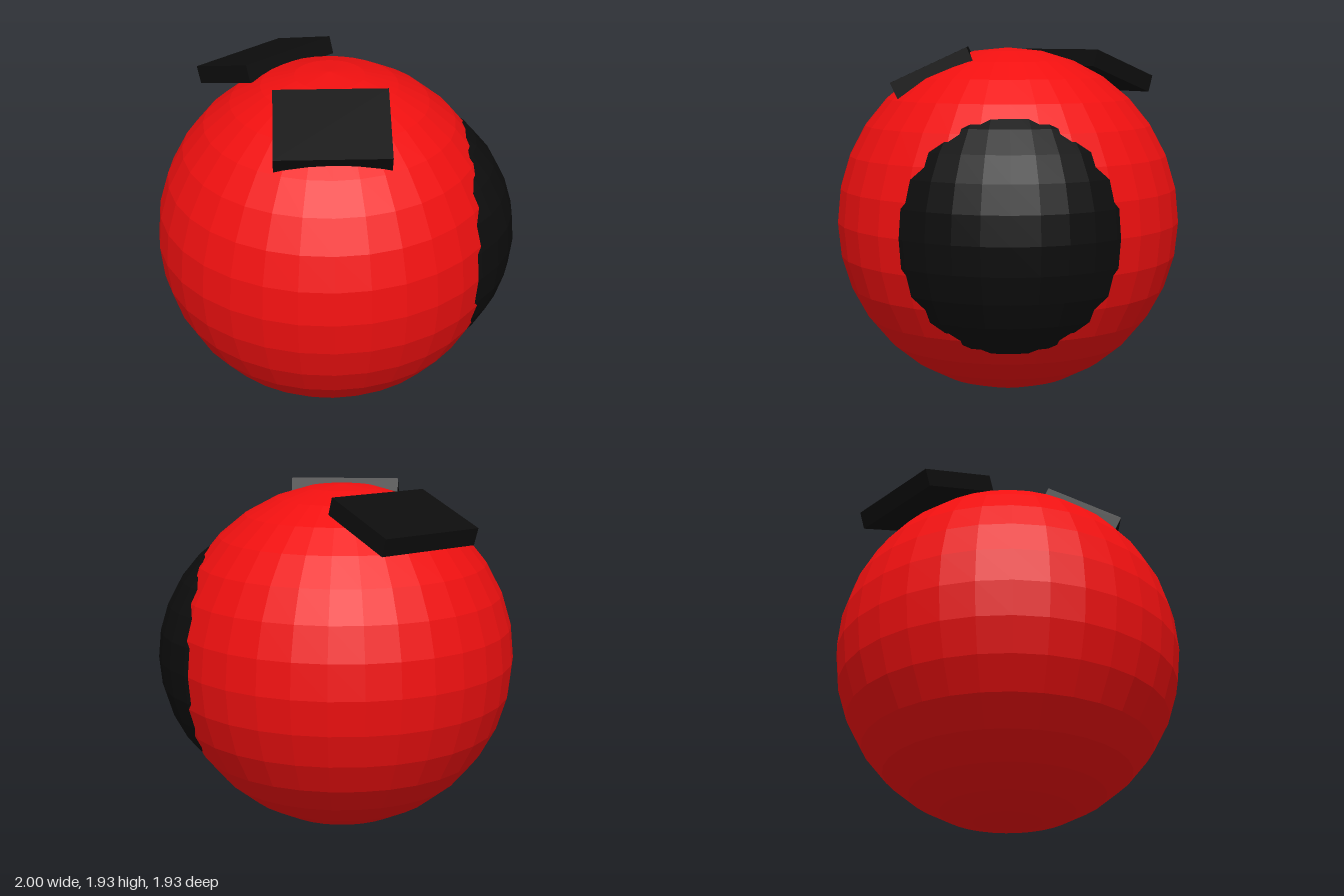
import * as THREE from 'three';

const red = new THREE.MeshStandardMaterial({ color: 0xf01010, flatShading: true });
const black = new THREE.MeshStandardMaterial({ color: 0x0d0d0d, flatShading: true });

export function createModel() {
  const model = new THREE.Group();
  model.name = 'ballCreature';

  function add(name, geometry, material, position) {
    const mesh = new THREE.Mesh(geometry, material);
    mesh.name = name;
    mesh.position.set(...position);
    model.add(mesh);
    return mesh;
  }

  // Faceted round body
  add('body', new THREE.SphereGeometry(0.965, 32, 16), red, [-0.035, 0.97, 0]);

  // Dark ball set into the left side, showing as a shallow cap
  const cap = add('sideCap', new THREE.SphereGeometry(1, 32, 16), black, [0.2, 0.97, 0]);
  cap.scale.set(0.8, 0.795, 0.776);

  // Flat slabs resting on top: turned by yaw, then sloping down outwards
  function slab(name, depth, position, yaw, tilt) {
    const mesh = add(name, new THREE.BoxGeometry(0.6, 0.098, depth), black, position);
    mesh.rotation.set(
      THREE.MathUtils.degToRad(tilt), THREE.MathUtils.degToRad(yaw), 0, 'YXZ');
  }
  slab('frontSlab', 0.455, [-0.035, 1.799, 0.413], 0, 24.8);
  slab('backSlab', 0.48, [-0.386, 1.8, -0.47], -139.8, 18.8);

  return model;
}
